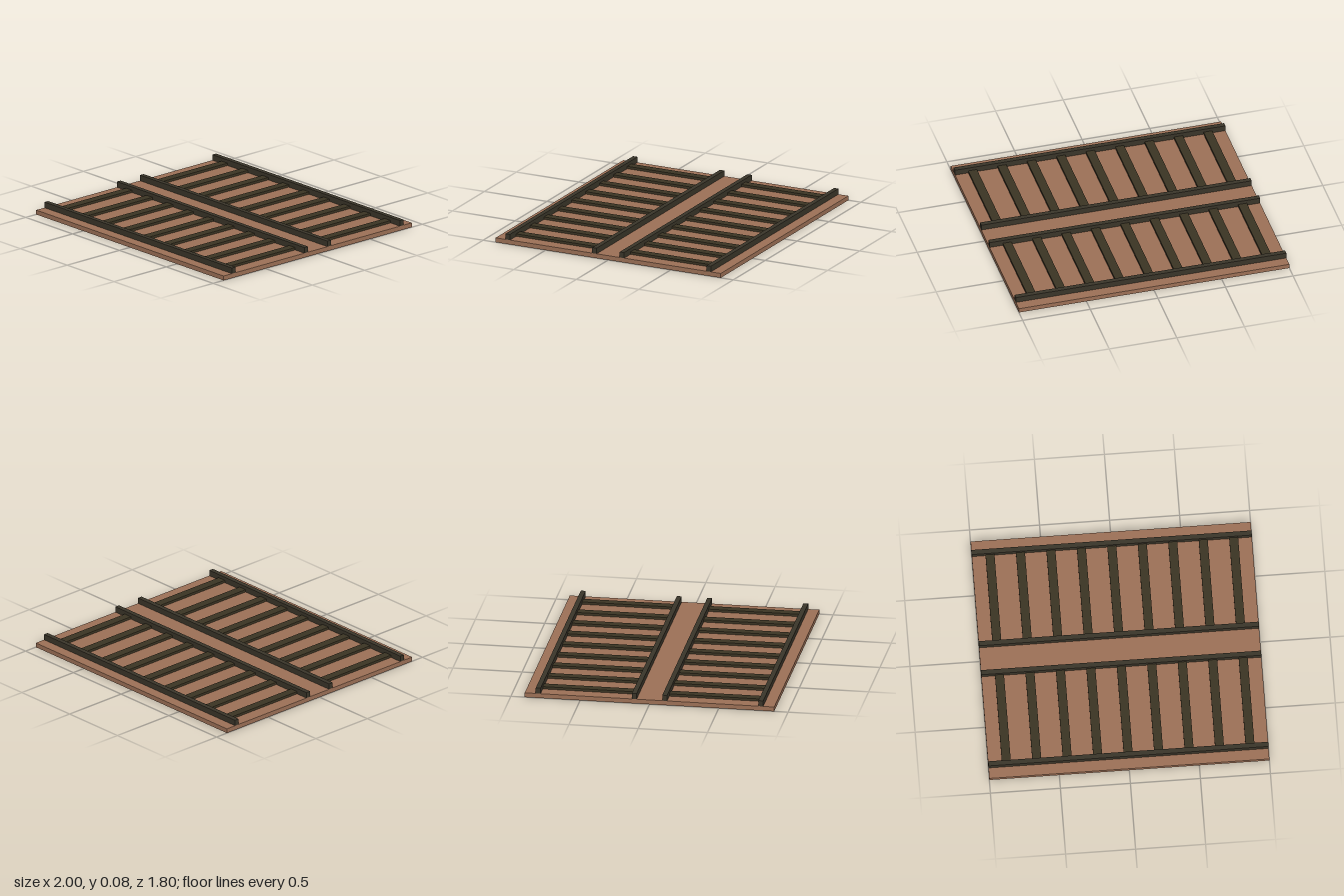
import * as THREE from 'three';

export function createModel() {
  const group = new THREE.Group();
  const material = (name, color) => {
    const m = new THREE.MeshStandardMaterial({ color });
    m.name = name;
    return m;
  };
  const earth = material('earthBrown', 0x9c7056);
  const steel = material('darkSteel', 0x3a3529);
  const wood = material('darkWood', 0x3b3423);

  // Box given by its size, its bottom height and its centre in x and z
  const addBox = (name, mat, [w, h, d], x, bottom, z) => {
    const mesh = new THREE.Mesh(new THREE.BoxGeometry(w, h, d), mat);
    mesh.name = name;
    mesh.position.set(x, bottom + h / 2, z);
    group.add(mesh);
  };

  const bedTop = 0.033, inner = 0.11, outer = 0.803;
  addBox('trackBed', earth, [2, bedTop, 1.8], 0, 0, 0);

  // Two parallel tracks, each with two rails and nine ties
  for (const side of [-1, 1]) {
    for (const z of [inner, outer]) {
      addBox('rail', steel, [2, 0.042, 0.035], 0, bedTop, side * z);
    }
    for (let i = -4; i <= 4; i++) {
      addBox('tie', wood, [0.064, 0.018, outer - inner - 0.03], i * 0.2175, bedTop, side * (inner + outer) / 2);
    }
  }
  return group;
}
